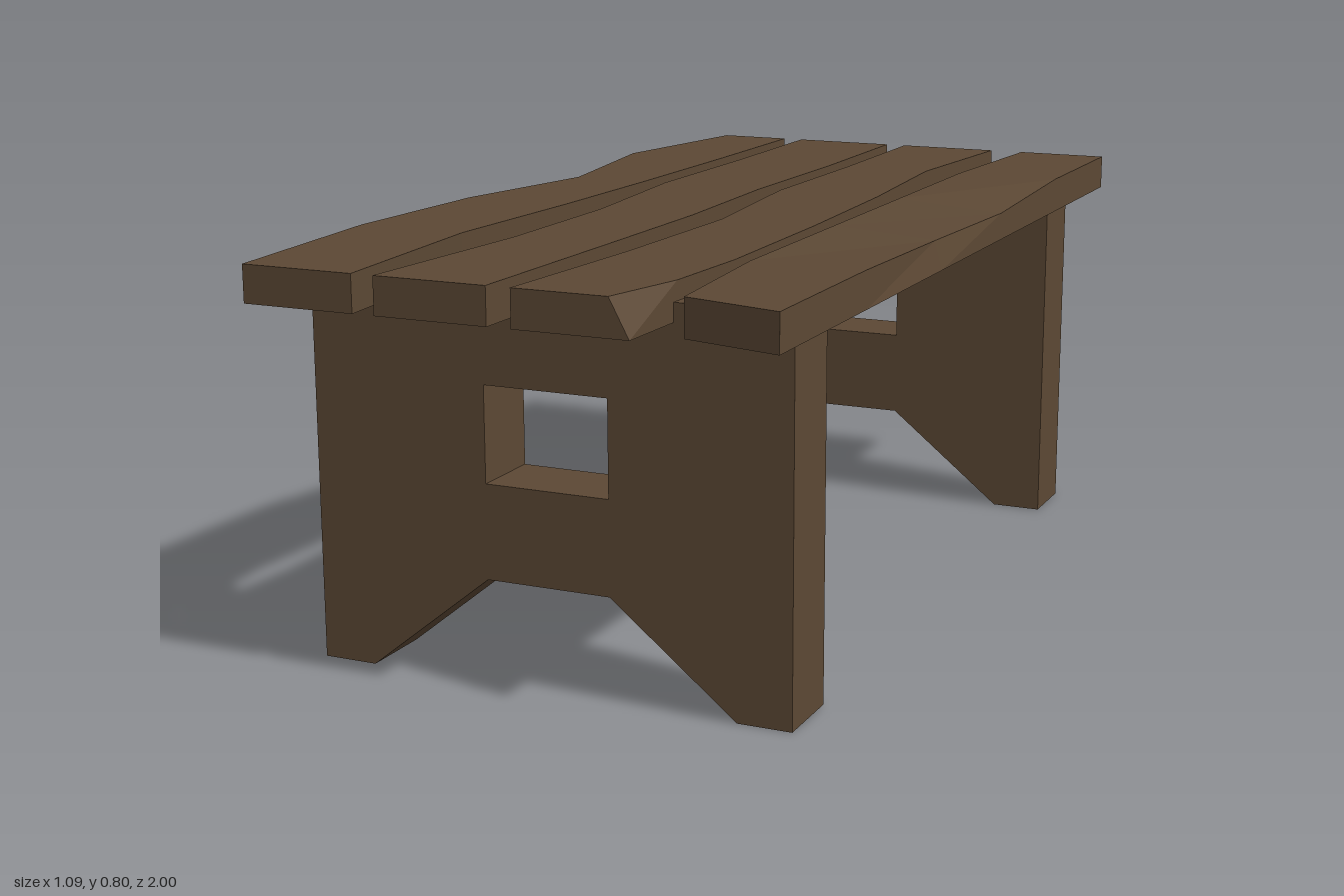
import * as THREE from 'three';

const wood = new THREE.MeshStandardMaterial({ color: 0x5c4834, flatShading: true, roughness: 0.9 });
const BOTTOM = 0.724, TOP = 0.797;

// Each station runs back to front: [z, left x, right x, upper right x, upper right y, z of the left side]
const planks = {
  plankFarRight: [
    [-1, -0.44, -0.28], [-0.6, -0.51, -0.28], [-0.2, -0.45, -0.285],
    [0.16, -0.525, -0.295], [0.55, -0.545, -0.315], [1, -0.51, -0.28],
  ],
  plankInnerRight: [
    [-1, -0.235, -0.005], [-0.6, -0.23, 0], [-0.2, -0.235, -0.008],
    [0.18, -0.2, 0.005], [0.55, -0.2, 0], [1, -0.235, -0.008],
  ],
  plankInnerLeft: [
    [-1, 0.04, 0.265], [-0.6, 0.045, 0.235], [-0.2, 0.04, 0.265], [0.2, 0.08, 0.28],
    [0.6, 0.068, 0.285], [0.82, 0.053, 0.272], [1, 0.04, 0.267, 0.228],
  ],
  plankFarLeft: [
    [-1, 0.34, 0.54], [-0.6, 0.315, 0.54], [-0.2, 0.315, 0.54, 0.54, 0.78],
    [0.18, 0.315, 0.54, 0.525, 0.782], [0.6, 0.315, 0.54], [1, 0.345, 0.54, 0.54, TOP, 0.95],
  ],
};

// Bends a segmented box so each cross-section follows its station
function plankGeometry(stations) {
  const n = stations.length - 1;
  const geo = new THREE.BoxGeometry(1, 1, 1, 1, 1, n);
  const p = geo.attributes.position;
  for (let i = 0; i < p.count; i++) {
    const [z, xl, xr, xrTop = xr, yrTop = TOP, zl = z] = stations[Math.round((p.getZ(i) + 0.5) * n)];
    const right = p.getX(i) > 0, upper = p.getY(i) > 0;
    p.setXYZ(i,
      right ? (upper ? xrTop : xr) : xl,
      upper ? (right ? yrTop : TOP) : BOTTOM,
      right ? z : zl);
  }
  geo.computeVertexNormals();
  return geo;
}

const points = (list) => list.map(([x, y]) => new THREE.Vector2(x, y));

// Solid end panel with a notched foot and a square hand hole
function legGeometry() {
  const shape = new THREE.Shape(points([
    [-0.475, 0], [-0.365, 0], [-0.112, 0.203], [0.14, 0.203],
    [0.393, 0], [0.5, 0], [0.5, 0.76], [-0.475, 0.76],
  ]));
  shape.holes.push(new THREE.Path(points([
    [-0.112, 0.388], [-0.112, 0.575], [0.14, 0.575], [0.14, 0.388],
  ])));
  return new THREE.ExtrudeGeometry(shape, { depth: 0.15, bevelEnabled: false });
}

export function createModel() {
  const group = new THREE.Group();
  group.name = 'bench';

  // Seat planks
  const seat = new THREE.Group();
  seat.name = 'seat';
  for (const [name, stations] of Object.entries(planks)) {
    const plank = new THREE.Mesh(plankGeometry(stations), wood);
    plank.name = name;
    seat.add(plank);
  }
  group.add(seat);

  // Leg panels
  const legGeo = legGeometry();
  for (const [name, z] of [['frontLeg', 0.685], ['backLeg', -0.835]]) {
    const leg = new THREE.Mesh(legGeo, wood);
    leg.name = name;
    leg.position.z = z;
    group.add(leg);
  }
  return group;
}
